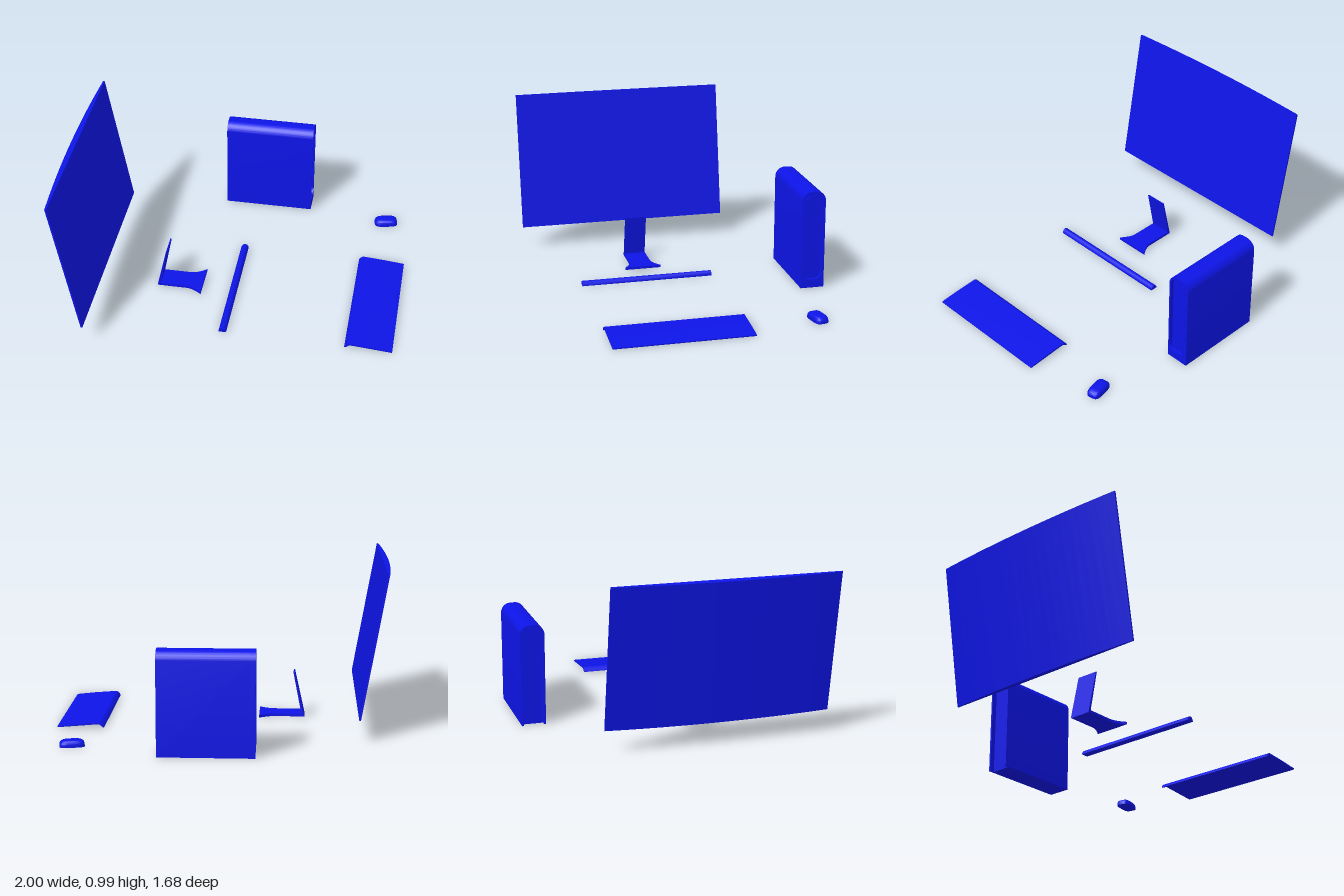
import * as THREE from 'three';
import { toCreasedNormals } from 'three/addons/utils/BufferGeometryUtils.js';

const material = new THREE.MeshStandardMaterial({ color: 0x0d14e6, side: THREE.DoubleSide });

function part(name, geometry, crease = 0.6) {
  const mesh = new THREE.Mesh(toCreasedNormals(geometry, crease), material);
  mesh.name = name;
  return mesh;
}

const polygon = (points) => new THREE.Shape(points.map(([x, y]) => new THREE.Vector2(x, y)));

const extrude = (shape, depth) =>
  new THREE.ExtrudeGeometry(shape, { depth, bevelEnabled: false, curveSegments: 12 });

// Rounded outline with separate top and bottom radii
function roundedOutline(x0, x1, y0, y1, top, bottom, Type = THREE.Shape) {
  const s = new Type();
  s.moveTo(x0 + bottom, y0);
  s.lineTo(x1 - bottom, y0);
  if (bottom) s.absarc(x1 - bottom, y0 + bottom, bottom, -Math.PI / 2, 0);
  s.lineTo(x1, y1 - top);
  s.absarc(x1 - top, y1 - top, top, 0, Math.PI / 2);
  s.lineTo(x0 + top, y1);
  s.absarc(x0 + top, y1 - top, top, Math.PI / 2, Math.PI);
  s.lineTo(x0, y0 + bottom);
  if (bottom) s.absarc(x0 + bottom, y0 + bottom, bottom, Math.PI, Math.PI * 1.5);
  return s;
}

// Leaning display: flat screen, gently bowed back
function createDisplay() {
  const half = 0.67, edge = 0.01, bow = 0.027;
  const points = [[-half, 0], [half, 0]];
  for (let i = 0; i <= 20; i++) {
    const u = 1 - i / 10;
    points.push([u * half, edge + bow * (1 - u * u)]);
  }
  const mesh = part('display', extrude(polygon(points), 0.868));
  const tilt = 0.173;
  mesh.applyMatrix4(new THREE.Matrix4().makeBasis(
    new THREE.Vector3(0, 0, -1),
    new THREE.Vector3(-Math.cos(tilt), -Math.sin(tilt), 0),
    new THREE.Vector3(-Math.sin(tilt), Math.cos(tilt), 0)
  ).setPosition(-0.813, 0.138, 0.17));
  return mesh;
}

// Stand: thin leaning upright and a foot that flares at its end
function createStand() {
  const stand = new THREE.Group();
  stand.name = 'stand';
  const upright = part('standUpright', extrude(
    polygon([[-0.497, 0.004], [-0.48, 0.012], [-0.428, 0.277], [-0.436, 0.277]]), 0.135));
  upright.position.z = 0.098;

  const foot = new THREE.Shape();
  foot.moveTo(-0.492, 0.098);
  foot.lineTo(-0.31, 0.098);
  foot.quadraticCurveTo(-0.27, 0.096, -0.217, 0.053);
  foot.lineTo(-0.217, 0.278);
  foot.quadraticCurveTo(-0.27, 0.235, -0.31, 0.233);
  foot.lineTo(-0.492, 0.233);
  const base = part('standFoot', extrude(foot, 0.016).rotateX(Math.PI / 2));
  base.position.y = 0.021;
  stand.add(upright, base);
  return stand;
}

// Tower: rounded shell along x with recessed end panels
function createTower() {
  const tower = new THREE.Group();
  tower.name = 'tower';
  const x0 = -0.222, x1 = 0.338;
  // Profile x runs along -z, profile depth runs along +x
  const place = (name, shape, from, to) => {
    const mesh = part(name, extrude(shape, to - from).rotateY(Math.PI / 2));
    mesh.position.x = from;
    tower.add(mesh);
  };
  const outline = () => roundedOutline(0.698, 0.843, 0, 0.612, 0.06, 0);
  const opening = (inset, Type) => roundedOutline(
    0.709 + inset, 0.826 - inset, 0.052 + inset, 0.594 - inset, 0.048 - inset, 0.04 - inset, Type);

  const shell = outline();
  shell.holes.push(opening(0, THREE.Path));
  place('towerShell', shell, x0 + 0.03, x1);
  place('towerEndPanel', opening(0), x0 + 0.03, x1 - 0.022);
  place('towerInnerPanel', opening(0.014), x1 - 0.022, x1 - 0.014);

  // Far end: the rim is open at the bottom
  const rim = new THREE.Shape();
  rim.moveTo(0.698, 0);
  rim.lineTo(0.709, 0);
  rim.lineTo(0.709, 0.546);
  rim.absarc(0.757, 0.546, 0.048, Math.PI, Math.PI / 2, true);
  rim.lineTo(0.784, 0.594);
  rim.absarc(0.784, 0.546, 0.048, Math.PI / 2, 0, true);
  rim.lineTo(0.832, 0);
  rim.lineTo(0.843, 0);
  rim.lineTo(0.843, 0.552);
  rim.absarc(0.783, 0.552, 0.06, 0, Math.PI / 2);
  rim.lineTo(0.758, 0.612);
  rim.absarc(0.758, 0.552, 0.06, Math.PI / 2, Math.PI);
  place('towerRearRim', rim, x0, x0 + 0.03);
  return tower;
}

// Low bar with a domed section
function createBar() {
  const bar = part('bar', extrude(polygon([
    [-0.045, 0.003], [0, 0.003], [0, 0.012], [-0.009, 0.026],
    [-0.022, 0.031], [-0.035, 0.026], [-0.045, 0.012]
  ]), 0.815), 0.9);
  bar.position.z = -0.225;
  return bar;
}

// Keyboard: thin sloping sheet with a folded rear lip
function createKeyboard() {
  const keyboard = part('keyboard', extrude(polygon([
    [0.713, 0.005], [0.721, 0.004], [0.744, 0.022], [0.77, 0.021], [0.998, 0.001],
    [0.998, 0.008], [0.88, 0.021], [0.77, 0.03], [0.738, 0.032], [0.722, 0.022]
  ]), 0.825));
  keyboard.position.z = -0.225;
  return keyboard;
}

// Mouse: squarish dome with a flat underside
function createMouse() {
  const geometry = new THREE.SphereGeometry(1, 32, 16, 0, Math.PI * 2, 0, Math.PI / 2);
  const p = geometry.attributes.position;
  const square = (v, power) => Math.sign(v) * Math.abs(v) ** power;
  for (let i = 0; i < p.count; i++) {
    p.setXYZ(i, 0.073 * square(p.getX(i), 0.55),
      0.006 + 0.036 * square(p.getY(i), 0.75), 0.042 * square(p.getZ(i), 0.5));
  }
  // Underside follows the rim of the dome
  const rim = [];
  for (let i = 0; i < 32; i++) {
    const a = (i / 32) * Math.PI * 2;
    rim.push([0.073 * square(Math.cos(a), 0.55), 0.042 * square(Math.sin(a), 0.5)]);
  }
  const mouse = new THREE.Group();
  mouse.name = 'mouse';
  const sole = part('mouseSole', extrude(polygon(rim), 0.006).rotateX(Math.PI / 2));
  sole.position.y = 0.007;
  mouse.add(part('mouseBody', geometry, 1.2), sole);
  mouse.position.set(0.845, 0, -0.635);
  mouse.rotation.y = 0.2;
  return mouse;
}

export function createModel() {
  const model = new THREE.Group();
  model.name = 'desktopComputer';
  model.add(createDisplay(), createStand(), createTower(), createBar(), createKeyboard(), createMouse());
  return model;
}
